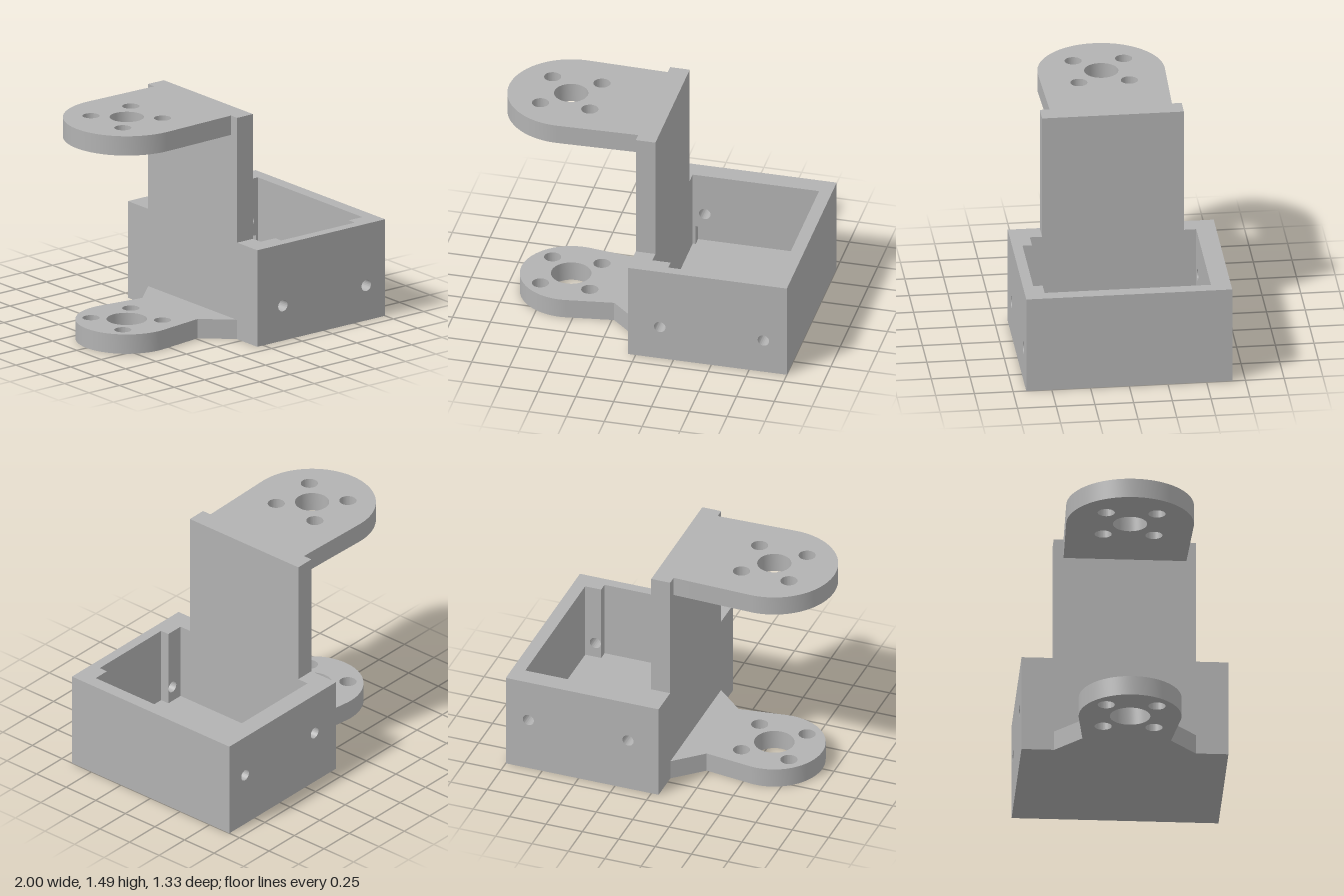
import * as THREE from 'three';
import { toCreasedNormals } from 'three/addons/utils/BufferGeometryUtils.js';

const grey = new THREE.MeshStandardMaterial({ color: 0xb2b2b2 });
grey.name = 'grey';

// Box side limits, shared by the walls
const X0 = -0.05, X1 = 1, TOP = 0.65, FLOOR = 0.13, HALF = 0.665;
const IN0 = 0.08, IN1 = 0.915, INZ = 0.537, STEP = 0.598;

function mesh(name, geometry) {
  const m = new THREE.Mesh(geometry, grey);
  m.name = name;
  return m;
}

// Box given by its limits on each axis
function block(name, x0, x1, y0, y1, z0, z1) {
  const g = new THREE.BoxGeometry(x1 - x0, y1 - y0, z1 - z0);
  g.translate((x0 + x1) / 2, (y0 + y1) / 2, (z0 + z1) / 2);
  return mesh(name, g);
}

function polygon(points) {
  return new THREE.Shape(points.map(([x, y]) => new THREE.Vector2(x, y)));
}

function addHole(shape, x, y, r) {
  const hole = new THREE.Path();
  hole.absarc(x, y, r, 0, Math.PI * 2, true);
  shape.holes.push(hole);
}

function extrude(shape, depth) {
  const g = new THREE.ExtrudeGeometry(shape, { depth, bevelEnabled: false, curveSegments: 32 });
  return toCreasedNormals(g, 0.5);
}

// Wall layer standing in the xy plane, with two screw holes
function wallLayer(name, outline, holeY, z0, z1) {
  const shape = polygon(outline);
  for (const x of [0.16, 0.845]) addHole(shape, x, holeY, 0.038);
  const g = extrude(shape, z1 - z0);
  g.translate(0, 0, z0);
  return [shape, mesh(name, g)];
}

// Rounded mounting plate; neck lists [x, z] from the arc towards the box
function plate(name, radius, tilt, neck, centreHole, y) {
  const cx = -0.59;
  const shape = new THREE.Shape();
  shape.absarc(cx, 0, radius, Math.PI / 2 - tilt, Math.PI * 1.5 + tilt, false);
  for (const [x, z] of neck) shape.lineTo(x, -z);
  for (const [x, z] of [...neck].reverse()) shape.lineTo(x, z);
  shape.closePath();
  addHole(shape, cx, 0, centreHole);
  for (const sx of [-1, 1])
    for (const sz of [-1, 1]) addHole(shape, cx + sx * 0.163, sz * 0.163, 0.055);
  const g = extrude(shape, 0.13);
  g.rotateX(-Math.PI / 2);
  g.translate(0, y, 0);
  return mesh(name, g);
}

export function createModel() {
  const model = new THREE.Group();
  model.name = 'servoBracket';

  // Open box
  const box = new THREE.Group();
  box.name = 'box';
  const full = [[X0, 0], [X1, 0], [X1, TOP], [X0, TOP]];
  // Front inner layer has a slot open at the top
  const slotted = [[X0, 0], [X1, 0], [X1, TOP], [0.805, TOP], [0.805, FLOOR],
    [0.2, FLOOR], [0.2, TOP], [X0, TOP]];
  // Back inner layer has a low recess above the floor
  const recess = new THREE.Path([[0.1, FLOOR], [0.1, 0.264], [0.9, 0.264], [0.9, FLOOR]]
    .map(([x, y]) => new THREE.Vector2(x, y)));
  const backShape = polygon(full);
  backShape.holes.push(recess);
  for (const x of [0.16, 0.845]) addHole(backShape, x, 0.365, 0.038);
  const backInner = extrude(backShape, STEP - INZ);
  backInner.translate(0, 0, -STEP);

  box.add(
    block('floor', X0, X1, 0, FLOOR, -INZ, INZ),
    block('leftWall', IN1, X1, FLOOR, TOP, -INZ, INZ),
    block('rightWall', X0, IN0, FLOOR, TOP, -INZ, INZ),
    wallLayer('frontWallOuter', full, 0.235, STEP, HALF)[1],
    wallLayer('frontWallInner', slotted, 0.235, INZ, STEP)[1],
    wallLayer('backWallOuter', full, 0.365, -HALF, -STEP)[1],
    mesh('backWallInner', backInner)
  );
  model.add(box);

  // Upright rising from the right wall
  model.add(block('upright', X0, IN0, TOP, 1.49, -0.458, 0.458));

  // Upper and lower mounting plates
  model.add(plate('upperPlate', 0.41, 0.028, [[X0, 0.395]], 0.11, 1.36));
  model.add(plate('lowerPlate', 0.33, 0.13, [[-0.235, 0.285], [X0, 0.455]], 0.13, 0));

  // Centre the height-based frame on z
  model.position.set(0, 0, 0);
  return model;
}
